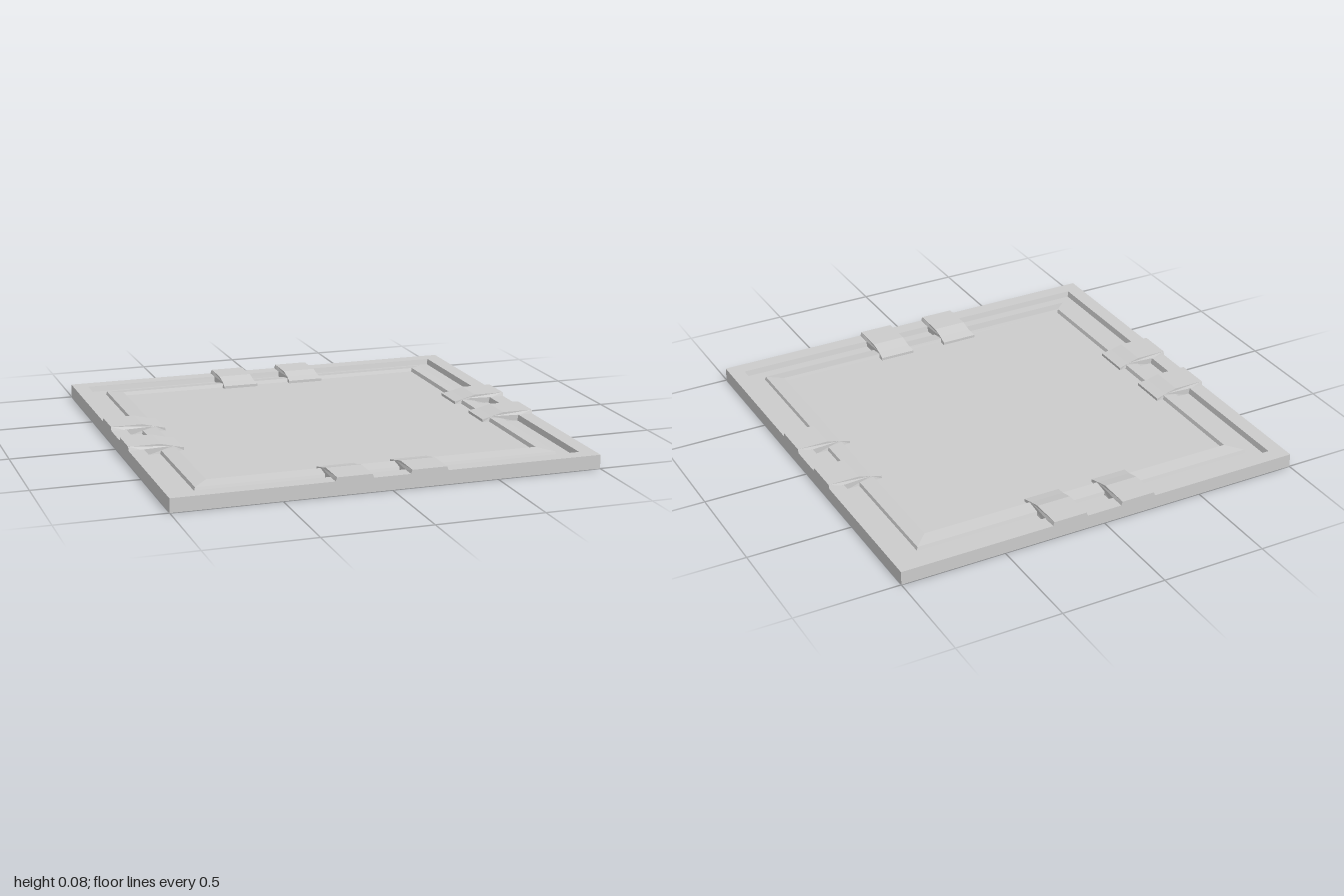
import * as THREE from 'three';

const material = new THREE.MeshStandardMaterial({ color: 0xcccccc, flatShading: true });

// Square tile: a stepped section [half width, height] swept round four sides
function makeTile() {
  const section = [
    [0, 0], [1, 0], [1, 0.065],          // underside and outer wall
    [0.928, 0.065], [0.922, 0.038],      // flat rim, step into the groove
    [0.853, 0.038], [0.848, 0.053],      // groove floor, step up to the inner band
    [0.78, 0.062], [0.774, 0.045],       // band rising inwards, step to the panel
    [0, 0.045],
  ];
  const points = section.map(([r, y]) => new THREE.Vector2(r * Math.SQRT2, y));
  const tile = new THREE.Mesh(new THREE.LatheGeometry(points, 4, Math.PI / 4), material);
  tile.name = 'steppedTile';
  return tile;
}

// Strap that crosses the border and bends down to the panel, sides tapering upwards
function makeStrapGeometry() {
  const side = [
    [1, 0.065], [1, 0.083], [0.85, 0.083], [0.79, 0.068], [0.74, 0.058],
    [0.74, 0.044], [0.85, 0.03], [0.93, 0.03], [0.94, 0.065],
  ];
  const shape = new THREE.Shape(side.map(([z, y]) => new THREE.Vector2(z, y)));
  const geometry = new THREE.ExtrudeGeometry(shape, { depth: 0.176, bevelEnabled: false });
  geometry.translate(0, 0, -0.088);
  const p = geometry.attributes.position;
  for (let i = 0; i < p.count; i++) {
    if (p.getY(i) > 0.067) p.setZ(i, p.getZ(i) * 0.93);
  }
  geometry.rotateY(-Math.PI / 2); // outer end towards +z
  geometry.computeVertexNormals();
  return geometry;
}

export function createModel() {
  const model = new THREE.Group();
  model.name = 'floorTile';
  model.add(makeTile());

  // A pair of straps on each side
  const strapGeometry = makeStrapGeometry();
  for (let i = 0; i < 4; i++) {
    const pair = new THREE.Group();
    pair.name = 'strapPair';
    pair.rotation.y = (i * Math.PI) / 2;
    for (const x of [-0.174, 0.174]) {
      const strap = new THREE.Mesh(strapGeometry, material);
      strap.name = 'strap';
      strap.position.x = x;
      pair.add(strap);
    }
    model.add(pair);
  }
  return model;
}
